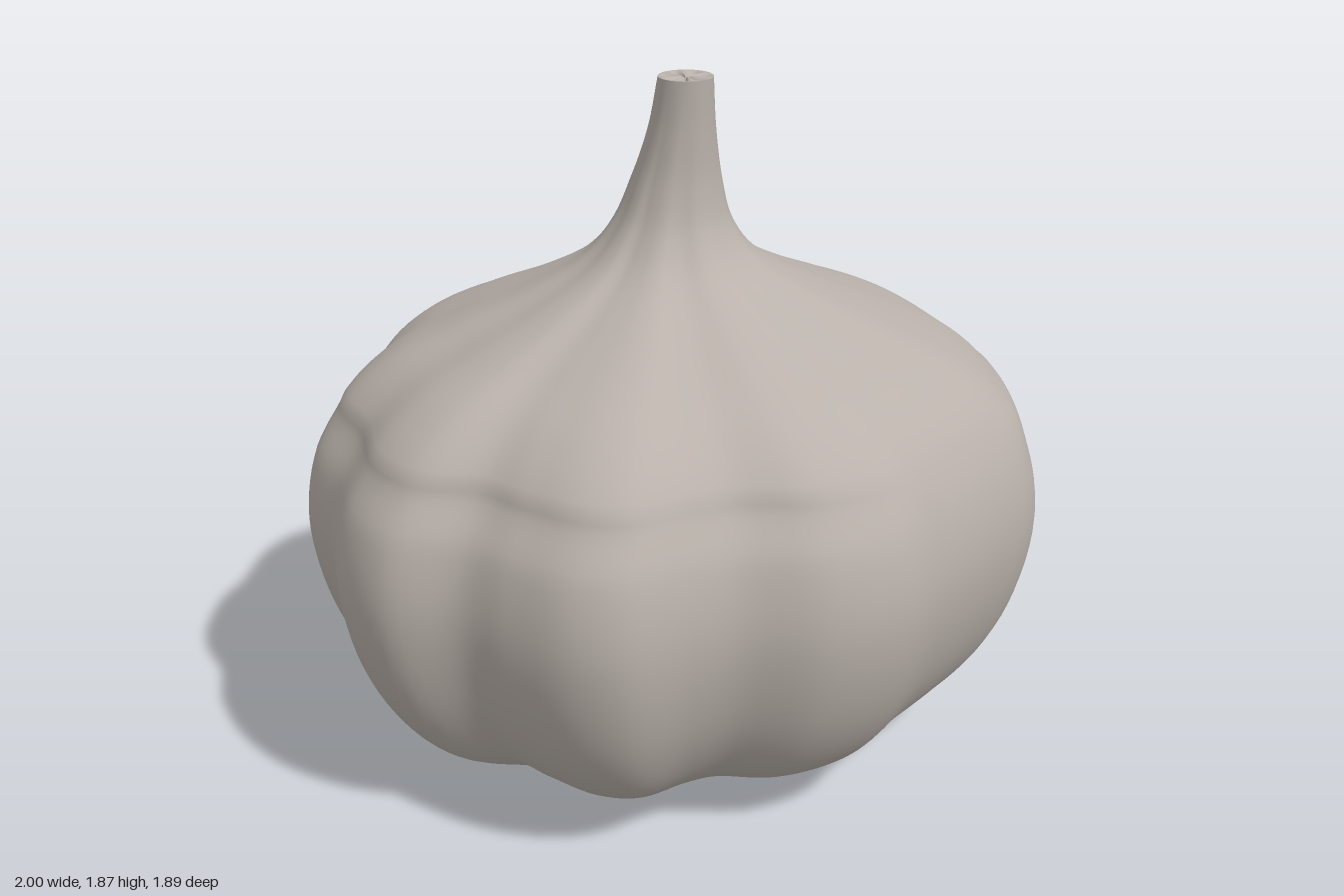
import * as THREE from 'three';

const SEGMENTS = 180, ROWS = 100;

// Widest cross-section (x, z), running counter-clockwise seen from above
const lobes = new THREE.CatmullRomCurve3([
  [1, -0.02], [0.98, -0.16], [0.93, -0.4], [0.82, -0.59], [0.62, -0.74], [0.41, -0.87],
  [0.19, -0.945], [-0.02, -0.91], [-0.18, -0.87], [-0.37, -0.845], [-0.51, -0.74],
  [-0.71, -0.63], [-0.81, -0.51], [-0.88, -0.32], [-0.97, -0.14], [-1, 0], [-0.945, 0.21],
  [-0.93, 0.43], [-0.84, 0.59], [-0.66, 0.67], [-0.56, 0.78], [-0.43, 0.9], [-0.3, 0.94],
  [-0.13, 0.895], [-0.01, 0.88], [0.2, 0.92], [0.41, 0.865], [0.57, 0.73], [0.74, 0.59],
  [0.91, 0.42], [0.97, 0.24],
].map(([x, z]) => new THREE.Vector3(x, 0, z)), true);

// Profile from base to stem: scale, height, lobe strength, centre x, centre z
const profile = [
  [0.3, 0, 0.5, 0, 0], [0.37, 0.015, 0.7, 0, 0], [0.5, 0.04, 1, 0, 0],
  [0.67, 0.1, 1.15, 0, 0], [0.81, 0.2, 1.15, 0, 0], [0.94, 0.4, 1.05, 0, 0],
  [1, 0.66, 1, 0, 0], [0.97, 0.86, 1, 0, 0], [0.89, 1.01, 1, 0, 0],
  [0.76, 1.12, 0.95, -0.01, 0.01], [0.58, 1.21, 0.9, -0.02, 0.03],
  [0.4, 1.295, 0.85, -0.02, 0.06], [0.25, 1.38, 0.75, -0.02, 0.075],
  [0.165, 1.48, 0.55, -0.015, 0.08], [0.122, 1.6, 0.35, -0.005, 0.09],
  [0.09, 1.74, 0.15, 0.005, 0.115], [0.074, 1.87, 0, 0.01, 0.135],
];
const shapeCurve = new THREE.CatmullRomCurve3(profile.map(([s, y, a]) => new THREE.Vector3(s, y, a)));
const centreCurve = new THREE.CatmullRomCurve3(profile.map(([, , , x, z]) => new THREE.Vector3(x, 0, z)));
const outline = Array.from({ length: SEGMENTS }, (_, i) => lobes.getPoint(i / SEGMENTS));

// One closed ring of points at profile position t
function ring(t) {
  const { x: scale, y, z: strength } = shapeCurve.getPoint(t);
  const centre = centreCurve.getPoint(t);
  return outline.map((p) => {
    const round = p.clone().setLength(0.95);
    const q = round.lerp(p, strength).multiplyScalar(scale).add(centre);
    q.y = Math.max(0, y);
    return q;
  });
}

// Surface through rings, outward facing when the rings go upwards
function loft(rings) {
  const n = SEGMENTS, index = [];
  for (let j = 0; j < rings.length - 1; j++) {
    for (let i = 0; i < n; i++) {
      const a = j * n + i, b = j * n + (i + 1) % n;
      index.push(a, b, b + n, a, b + n, a + n);
    }
  }
  const geometry = new THREE.BufferGeometry().setFromPoints(rings.flat());
  geometry.setIndex(index);
  geometry.computeVertexNormals();
  return geometry;
}

// Ring shrunk towards its own centre, with a height rule
function shrink(points, centre, factor, lift) {
  return points.map((p, i) => {
    const q = p.clone().lerp(centre, 1 - factor);
    q.y += lift((i / SEGMENTS) * Math.PI * 2);
    return q;
  });
}

export function createModel() {
  const group = new THREE.Group();
  const skin = new THREE.MeshStandardMaterial({ color: 0xb9b1aa });
  skin.name = 'papery skin';
  const add = (name, geometry) => {
    const mesh = new THREE.Mesh(geometry, skin);
    mesh.name = name;
    group.add(mesh);
  };

  // Lobed bulb sweeping up into the stem
  add('bulbAndStem', loft(Array.from({ length: ROWS + 1 }, (_, j) => ring(j / ROWS))));

  // Flat root base
  const bottom = ring(0);
  const origin = new THREE.Vector3();
  add('rootBase', loft([0.001, 1].map((f) => shrink(bottom, origin, f, () => 0))));

  // Cut stem end with shallow puckered folds
  const top = ring(1);
  const tip = new THREE.Vector3(0.01, 1.87, 0.135);
  const folds = (depth) => (angle) => -depth * (1 + Math.cos(angle * 7));
  add('stemCut', loft([
    top, shrink(top, tip, 0.85, folds(0.001)), shrink(top, tip, 0.5, folds(0.006)),
    shrink(top, tip, 0.2, folds(0.005)), shrink(top, tip, 0.001, () => -0.008),
  ]));
  return group;
}
